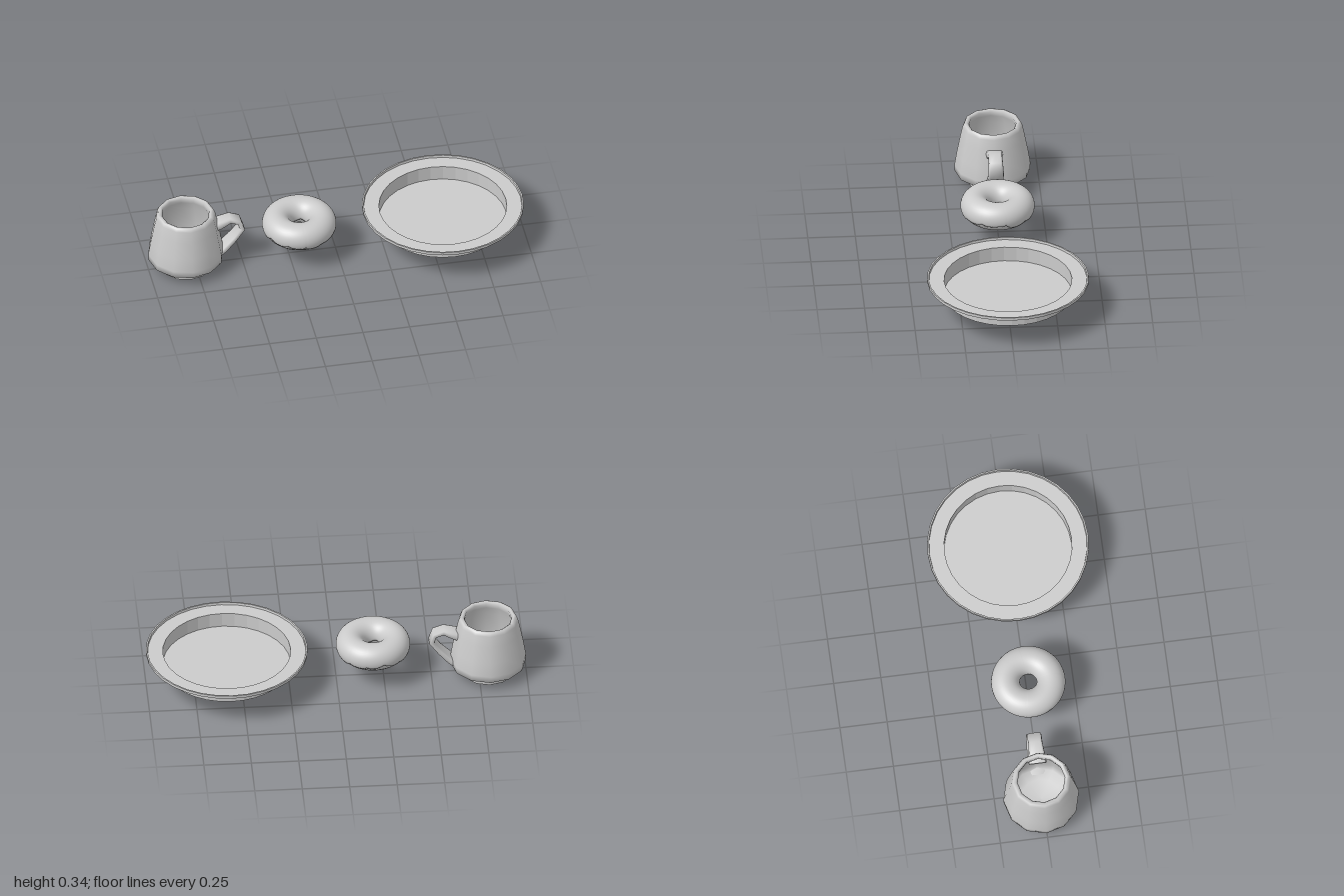
import * as THREE from 'three';

const grey = (opts = {}) => new THREE.MeshStandardMaterial({ color: 0xcccccc, ...opts });
const points = (list) => list.map(([x, y]) => new THREE.Vector2(x, y));

function add(parent, name, geometry, material = grey()) {
  const mesh = new THREE.Mesh(geometry, material);
  mesh.name = name;
  parent.add(mesh);
  return mesh;
}

// Surface from closed loops: at(i, j) gives the point j of loop i.
function loft(loops, count, at) {
  const pos = [], index = [];
  for (let i = 0; i < loops; i++)
    for (let j = 0; j < count; j++) pos.push(...at(i, j));
  for (let i = 0; i < loops - 1; i++)
    for (let j = 0; j < count; j++) {
      const k = (j + 1) % count;
      const a = i * count + j, b = i * count + k, c = a + count, d = b + count;
      index.push(a, b, d, a, d, c);
    }
  const g = new THREE.BufferGeometry();
  g.setAttribute('position', new THREE.Float32BufferAttribute(pos, 3));
  g.setIndex(index);
  g.computeVertexNormals();
  return g;
}

function makeMug() {
  const mug = new THREE.Group();
  mug.name = 'mug';
  // outer wall, rounded rim, then the inside down to its floor
  add(mug, 'mugBody', new THREE.LatheGeometry(points([
    [0.13, 0.024], [0.152, 0.026], [0.198, 0.058], [0.2, 0.095], [0.188, 0.17],
    [0.17, 0.265], [0.157, 0.325], [0.149, 0.343], [0.136, 0.345], [0.125, 0.336],
    [0.129, 0.31], [0.148, 0.26], [0.172, 0.12], [0.16, 0.075], [0.11, 0.05], [0, 0.044],
  ]), 12));
  const foot = add(mug, 'mugFoot', new THREE.CylinderGeometry(0.138, 0.136, 0.028, 12));
  foot.position.y = 0.014;

  // handle: path x, y, half width, half thickness
  const path = [
    [0.13, 0.235, 0.046, 0.026], [0.18, 0.25, 0.043, 0.022], [0.235, 0.272, 0.037, 0.016],
    [0.282, 0.255, 0.038, 0.015], [0.298, 0.21, 0.041, 0.015], [0.255, 0.151, 0.043, 0.015],
    [0.2, 0.091, 0.047, 0.018], [0.14, 0.05, 0.048, 0.018],
  ];
  const sides = 12;
  const handle = loft(path.length, sides, (i, j) => {
    const [x, y, w, t] = path[i];
    const p = path[Math.max(i - 1, 0)], n = path[Math.min(i + 1, path.length - 1)];
    const len = Math.hypot(n[0] - p[0], n[1] - p[1]);
    const nx = -(n[1] - p[1]) / len, ny = (n[0] - p[0]) / len;
    const a = (j / sides) * Math.PI * 2;
    const soft = (v) => Math.sign(v) * Math.sqrt(Math.abs(v));
    const off = t * soft(Math.cos(a));
    return [x + nx * off, y + ny * off, w * soft(Math.sin(a))];
  });
  add(mug, 'mugHandle', handle, grey({ side: THREE.DoubleSide }));
  mug.position.set(-0.8, 0, -0.007);
  return mug;
}

function makeDonut() {
  const donut = new THREE.Group();
  donut.name = 'donut';
  const R = 0.12;
  const dough = add(donut, 'dough', new THREE.TorusGeometry(R, 0.069, 20, 48).rotateX(Math.PI / 2));
  dough.position.y = -0.003;

  // icing: upper shell with rounded drips along both edges
  const around = 144, steps = 24;
  const drip = (u) => 0.28 * Math.sqrt(Math.abs(Math.sin(5.5 * u + 0.5 * Math.sin(2 * u))))
    + 0.13 * Math.sin(3 * u + 1) + 0.06 * Math.sin(7 * u);
  const icing = loft(steps + 1, around, (i, j) => {
    const u = (j / around) * Math.PI * 2;
    const outer = -0.2 - drip(u);
    const inner = Math.PI + 0.25 + 0.1 * Math.sin(4 * u);
    const s = THREE.MathUtils.clamp((i - 1) / (steps - 2), 0, 1);
    const v = outer + (inner - outer) * s;
    // the first and last loops tuck into the dough
    const r = i === 0 || i === steps ? 0.062 : 0.075;
    const d = R + r * Math.cos(v);
    return [d * Math.sin(u), r * Math.sin(v), d * Math.cos(u)];
  });
  add(donut, 'icing', icing, grey({ side: THREE.DoubleSide }));
  donut.position.set(-0.195, 0.194, 0.005);
  return donut;
}

function makePlate() {
  const plate = new THREE.Group();
  plate.name = 'plate';
  // flat floor, upright wall, wide rim with a small raised lip
  add(plate, 'plateDish', new THREE.LatheGeometry(points([
    [0, 0.105], [0.338, 0.105], [0.338, 0.187], [0.425, 0.187], [0.425, 0.203],
    [0.417, 0.203], [0.415, 0.19], [0.336, 0.19], [0.336, 0.108], [0, 0.108],
  ]), 32), grey({ flatShading: true, side: THREE.DoubleSide }));
  plate.position.x = 0.575;
  return plate;
}

export function createModel() {
  const model = new THREE.Group();
  model.name = 'breakfastSet';
  model.add(makeMug(), makeDonut(), makePlate());
  return model;
}
